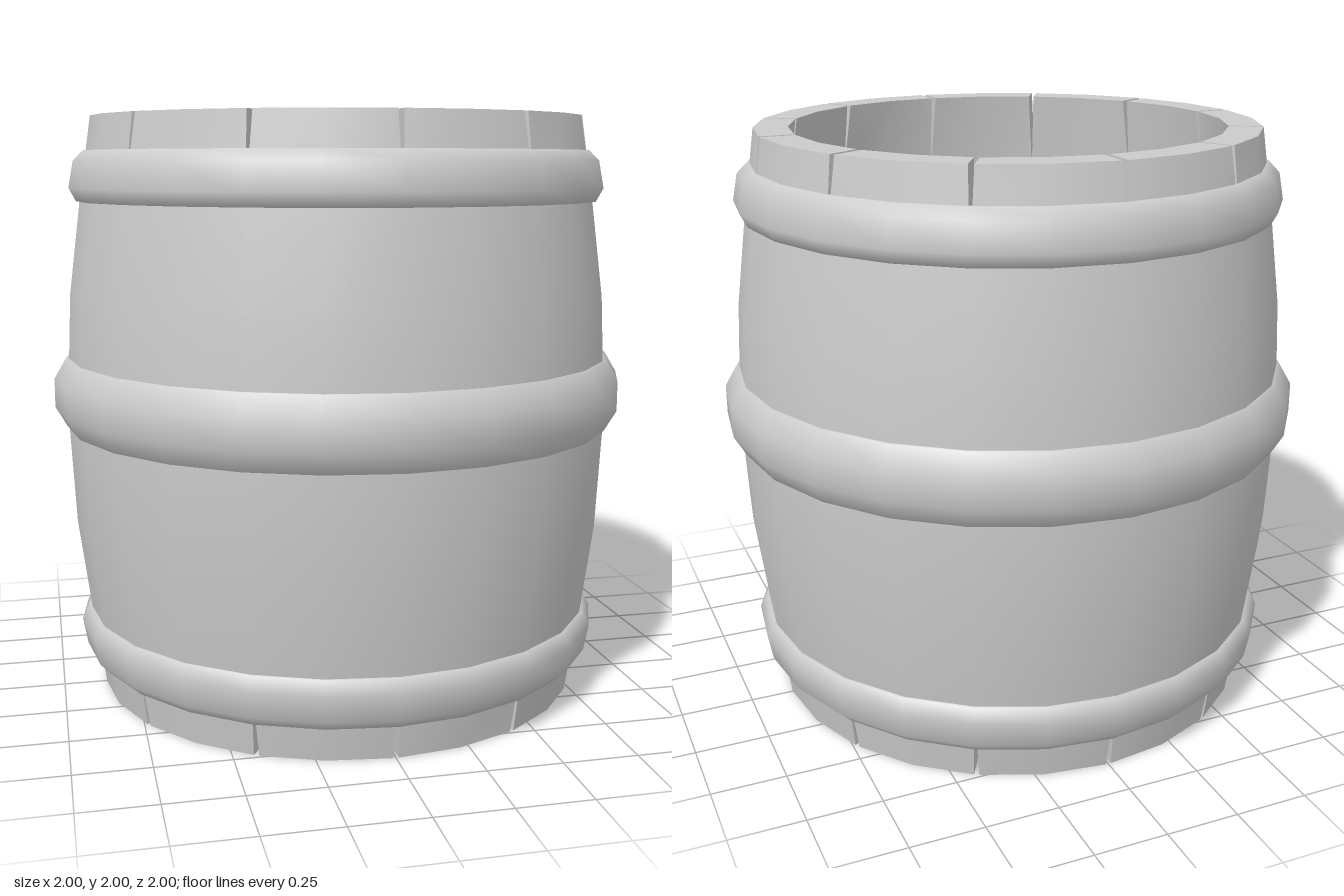
import * as THREE from 'three';
import { toCreasedNormals } from 'three/addons/utils/BufferGeometryUtils.js';

const STAVES = 12;
const SIDES = 24;
const THICKNESS = 0.115;
// Barrel profile: [outer radius, height, half width of the gap between staves]
const RINGS = [
  [0.85, 0, 0.009], [0.893, 0.28, 0], [0.935, 0.6, 0], [0.955, 1, 0],
  [0.935, 1.4, 0], [0.893, 1.72, 0], [0.85, 2, 0.009],
];

// All staves in one geometry, so the shading runs smoothly across closed joints
function staveGeometry() {
  const pos = [];
  const quad = (a, b, c, d) => pos.push(...a, ...b, ...c, ...a, ...c, ...d);
  const step = (Math.PI * 2) / STAVES;
  for (let s = 0; s < STAVES; s++) {
    // Cross-section: outer left, middle, right, then inner right, middle, left
    const loops = RINGS.map(([r, y, gap]) => {
      const point = (radius, t) => {
        const a = (s + t) * step + (1 - 2 * t) * (gap / radius);
        return [radius * Math.sin(a), y, radius * Math.cos(a)];
      };
      const inner = r - THICKNESS;
      return [point(r, 0), point(r, 0.5), point(r, 1), point(inner, 1), point(inner, 0.5), point(inner, 0)];
    });
    for (let i = 0; i < loops.length - 1; i++) {
      const lo = loops[i], hi = loops[i + 1];
      const open = RINGS[i][2] + RINGS[i + 1][2] > 0;
      for (let j = 0; j < 6; j++) {
        if (j % 3 === 2 && !open) continue; // closed joints need no side walls
        const k = (j + 1) % 6;
        quad(lo[j], lo[k], hi[k], hi[j]);
      }
    }
    // End grain
    const b = loops[0], t = loops[loops.length - 1];
    quad(t[0], t[1], t[4], t[5]);
    quad(t[1], t[2], t[3], t[4]);
    quad(b[5], b[4], b[1], b[0]);
    quad(b[4], b[3], b[2], b[1]);
  }
  const geometry = new THREE.BufferGeometry();
  geometry.setAttribute('position', new THREE.Float32BufferAttribute(pos, 3));
  return toCreasedNormals(geometry, 0.7);
}

export function createModel() {
  const group = new THREE.Group();
  group.name = 'barrel';
  const material = new THREE.MeshStandardMaterial({ color: 0xcccccc });
  const hoopMaterial = new THREE.MeshStandardMaterial({ color: 0xcccccc, side: THREE.DoubleSide });
  const add = (name, geometry, mat = material) => {
    const mesh = new THREE.Mesh(geometry, mat);
    mesh.name = name;
    group.add(mesh);
    return mesh;
  };

  add('staves', staveGeometry());

  // Recessed floor
  add('floor', new THREE.CylinderGeometry(0.765, 0.762, 0.04, SIDES)).position.y = 0.12;

  // Hoops, with their edges sunk slightly into the staves
  const hoop = (name, profile) =>
    add(name, new THREE.LatheGeometry(profile.map(([r, y]) => new THREE.Vector2(r, y)), SIDES), hoopMaterial);
  const endHoop = [[0.862, 0.115], [0.878, 0.115], [0.912, 0.15], [0.929, 0.24], [0.905, 0.285], [0.885, 0.285]];
  hoop('bottomHoop', endHoop);
  hoop('middleHoop', [[0.945, 0.94], [0.957, 0.94], [0.998, 1.01], [0.998, 1.11], [0.957, 1.18], [0.94, 1.18]]);
  hoop('topHoop', endHoop.map(([r, y]) => [r, 2 - y]).reverse());

  return group;
}
